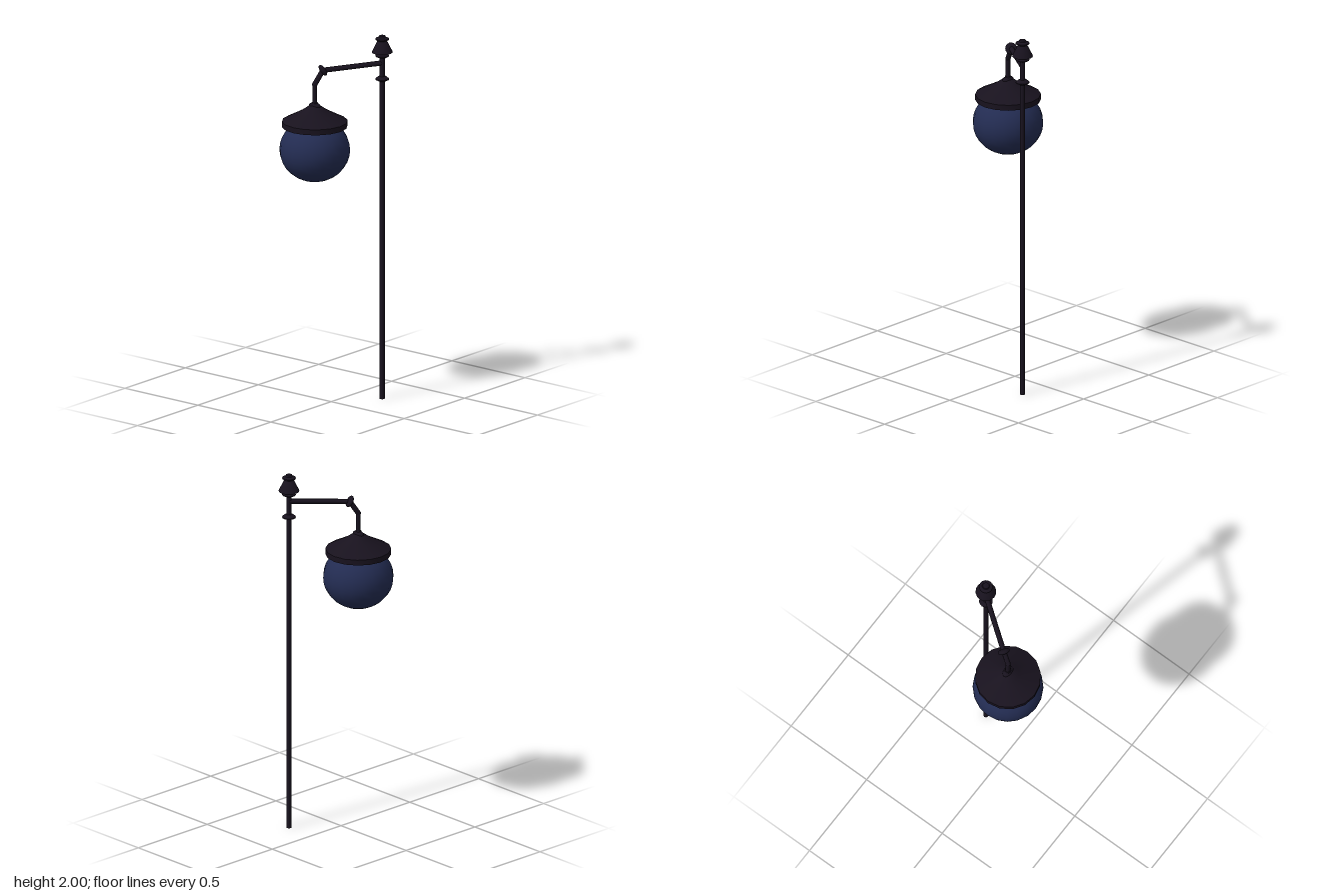
import * as THREE from 'three';
import { toCreasedNormals } from 'three/addons/utils/BufferGeometryUtils.js';

const iron = new THREE.MeshStandardMaterial({ color: 0x18121e, side: THREE.DoubleSide });
const glass = new THREE.MeshStandardMaterial({ color: 0x232c52 });
const POLE = { x: 0.217, z: 0.17 };
const LAMP = { x: -0.088, z: -0.04 };

export function createModel() {
  const model = new THREE.Group();

  const add = (name, geometry, material, x = 0, y = 0, z = 0) => {
    const mesh = new THREE.Mesh(geometry, material);
    mesh.name = name;
    mesh.position.set(x, y, z);
    model.add(mesh);
    return mesh;
  };
  // Turned part: [radius, height] pairs from the bottom up
  const turned = (name, points, sides, at, y = 0) => {
    const profile = points.map(([r, h]) => new THREE.Vector2(r, h));
    const geometry = toCreasedNormals(new THREE.LatheGeometry(profile, sides), 0.7);
    return add(name, geometry, iron, at.x, y, at.z);
  };
  // Straight round bar between two points
  const bar = (name, a, b, radius) => {
    const dir = b.clone().sub(a);
    const geometry = toCreasedNormals(new THREE.CylinderGeometry(radius, radius, dir.length(), 12), 0.7);
    const mesh = add(name, geometry, iron, ...a.clone().add(b).multiplyScalar(0.5).toArray());
    mesh.quaternion.setFromUnitVectors(new THREE.Vector3(0, 1, 0), dir.normalize());
    return mesh;
  };
  // Squashed ball
  const ball = (name, rx, ry, rz, at) => {
    const geometry = new THREE.SphereGeometry(1, 16, 10).scale(rx, ry, rz);
    return add(name, geometry, iron, at.x, at.y, at.z);
  };

  // Pole with collars and a stepped finial
  bar('pole', new THREE.Vector3(POLE.x, 0, POLE.z), new THREE.Vector3(POLE.x, 1.91, POLE.z), 0.014);
  const collar = [[0, -0.012], [0.02, -0.01], [0.036, -0.002], [0.036, 0.003], [0.021, 0.015], [0, 0.018]];
  for (const y of [1.757, 1.885]) turned('poleCollar', collar, 16, POLE, y);
  turned('finial', [
    [0, 1.895], [0.03, 1.9], [0.055, 1.905], [0.053, 1.912], [0.028, 1.962], [0.024, 1.968],
    [0.036, 1.975], [0.036, 1.981], [0.02, 1.988], [0.017, 1.996], [0, 2],
  ], 16, POLE);

  // Arm reaching diagonally from the pole, then hanging down
  const root = new THREE.Vector3(POLE.x, 1.846, POLE.z);
  const elbow = new THREE.Vector3(-0.045, 1.829, -0.02);
  const bend = new THREE.Vector3(LAMP.x, 1.757, LAMP.z);
  const hang = new THREE.Vector3(LAMP.x, 1.6, LAMP.z);
  bar('arm', root, elbow, 0.014);
  bar('armDrop', elbow, bend, 0.014);
  bar('hanger', bend, hang, 0.013);
  ball('bendJoint', 0.014, 0.014, 0.014, bend);

  // Disc-like elbow joint, set square to the turn of the arm
  const turn = elbow.clone().sub(root).normalize().add(bend.clone().sub(elbow).normalize()).normalize();
  ball('elbowJoint', 0.033, 0.015, 0.033, elbow)
    .quaternion.setFromUnitVectors(new THREE.Vector3(0, 1, 0), turn);

  // Shade, hollow underneath, with an oval knob at its crown
  turned('shade', [
    [0, 1.59], [0.06, 1.58], [0.162, 1.545], [0.166, 1.527], [0.174, 1.527], [0.174, 1.557],
    [0.125, 1.582], [0.075, 1.609], [0.058, 1.62], [0.035, 1.637], [0.02, 1.644], [0.016, 1.658], [0, 1.66],
  ], 16, LAMP);
  ball('shadeKnob', 0.023, 0.02, 0.036, new THREE.Vector3(LAMP.x, 1.638, LAMP.z));

  // Glass globe
  const globe = new THREE.SphereGeometry(1, 20, 16).scale(0.187, 0.171, 0.187);
  add('globe', globe, glass, LAMP.x, 1.399, LAMP.z);

  return model;
}
